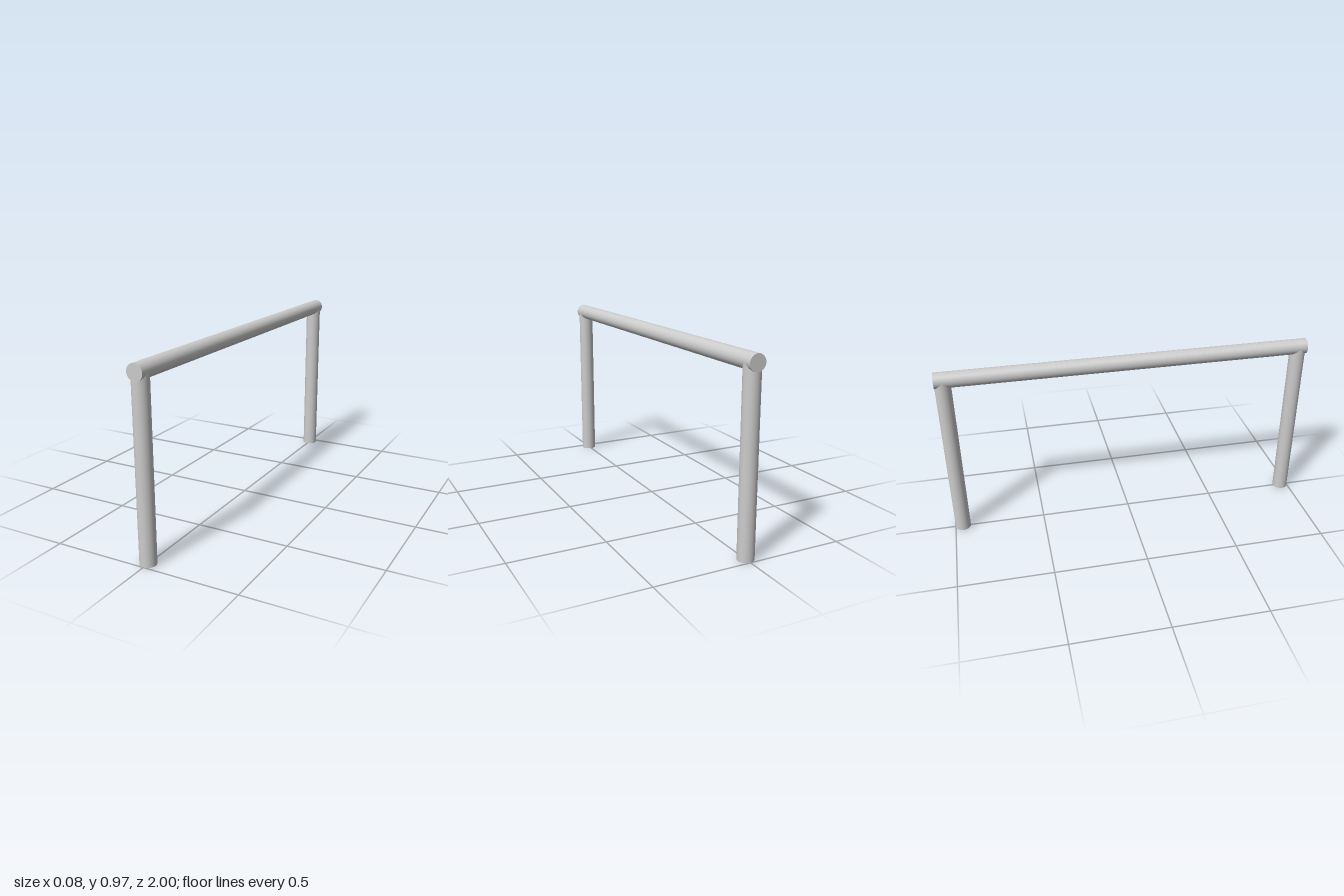
import * as THREE from 'three';

const RADIUS = 0.042;
const BAR_Y = 0.928; // height of the bar's axis
const SIDES = 48;

export function createModel() {
  const model = new THREE.Group();
  const material = new THREE.MeshStandardMaterial({ color: 0xcccccc });

  // Round capped tube, upright by default
  const tube = (name, length) => {
    const mesh = new THREE.Mesh(new THREE.CylinderGeometry(RADIUS, RADIUS, length, SIDES), material);
    mesh.name = name;
    model.add(mesh);
    return mesh;
  };

  // Horizontal rail running front to back
  const rail = tube('topRail', 2);
  rail.rotation.x = Math.PI / 2;
  rail.position.y = BAR_Y;

  // Posts end on the rail's axis, flush with its ends
  for (const [name, side] of [['frontPost', 1], ['backPost', -1]]) {
    tube(name, BAR_Y).position.set(0, BAR_Y / 2, side * (1 - RADIUS));
  }

  return model;
}
